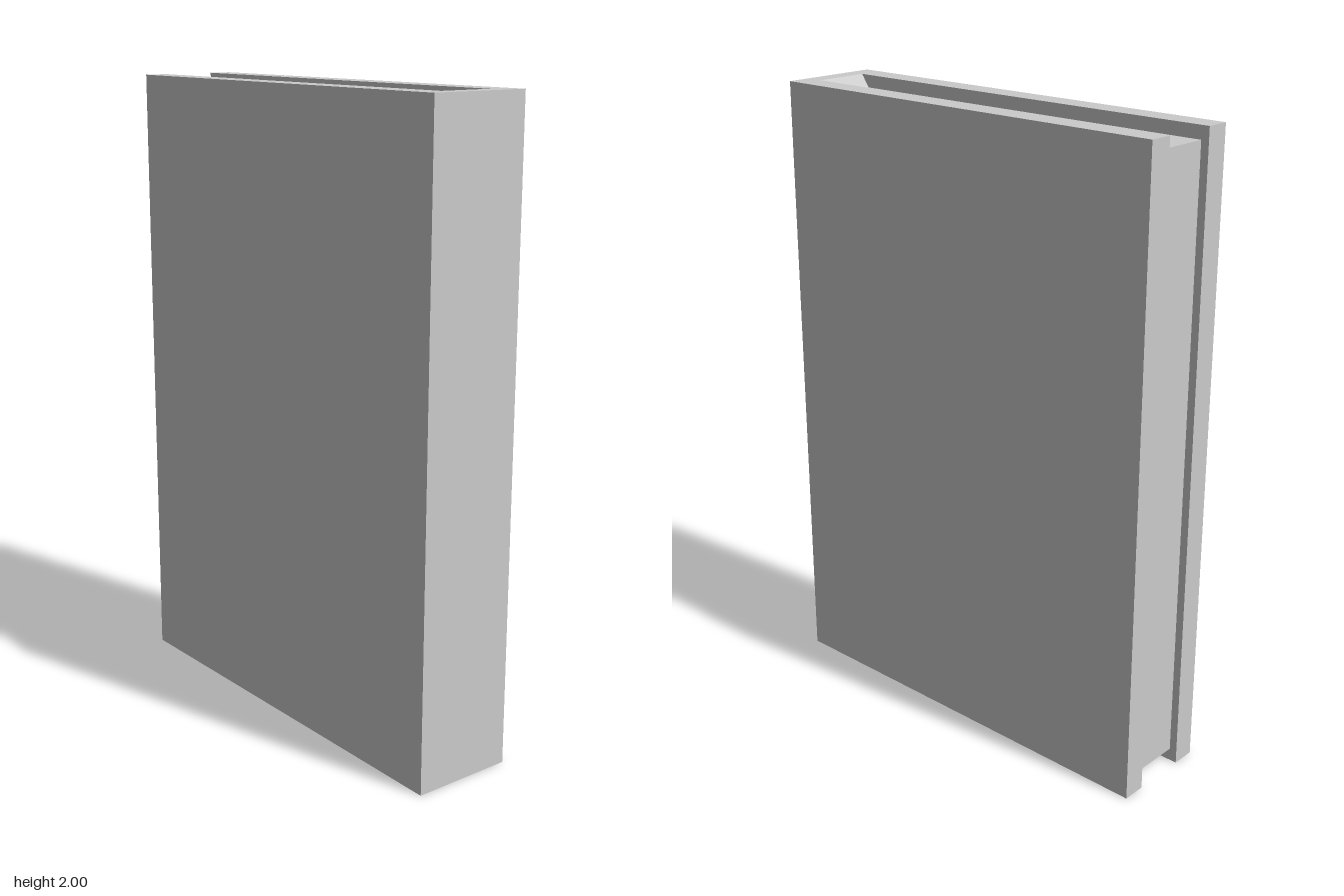
import * as THREE from 'three';

const H = 2, X = 0.703, Z = 0.165, INNER_Z = 0.089, INNER_X = 0.645;

function extrude(name, points, depth, material) {
  const shape = new THREE.Shape(points.map(([x, y]) => new THREE.Vector2(x, y)));
  const mesh = new THREE.Mesh(
    new THREE.ExtrudeGeometry(shape, { depth, bevelEnabled: false }), material);
  mesh.name = name;
  return mesh;
}

export function createModel() {
  const group = new THREE.Group();
  group.name = 'book';
  const material = new THREE.MeshStandardMaterial({ color: 0xcccccc, flatShading: true });

  // U-shaped binding: two boards joined by the spine at +x, extruded upwards
  const cover = extrude('cover', [
    [-X, -Z], [X, -Z], [X, Z], [-X, Z],
    [-X, INNER_Z], [INNER_X, INNER_Z], [INNER_X, -INNER_Z], [-X, -INNER_Z],
  ], H, material);
  cover.rotation.x = -Math.PI / 2;

  // Page block: recessed on three edges, sloping out to full height at the spine
  const inset = 0.04, fore = -0.678, slope = 0.617;
  const pages = extrude('pages', [
    [fore, inset], [slope, inset], [INNER_X, 0],
    [INNER_X, H], [slope, H - inset], [fore, H - inset],
  ], 2 * INNER_Z, material);
  pages.position.z = -INNER_Z;

  group.add(cover, pages);
  return group;
}
